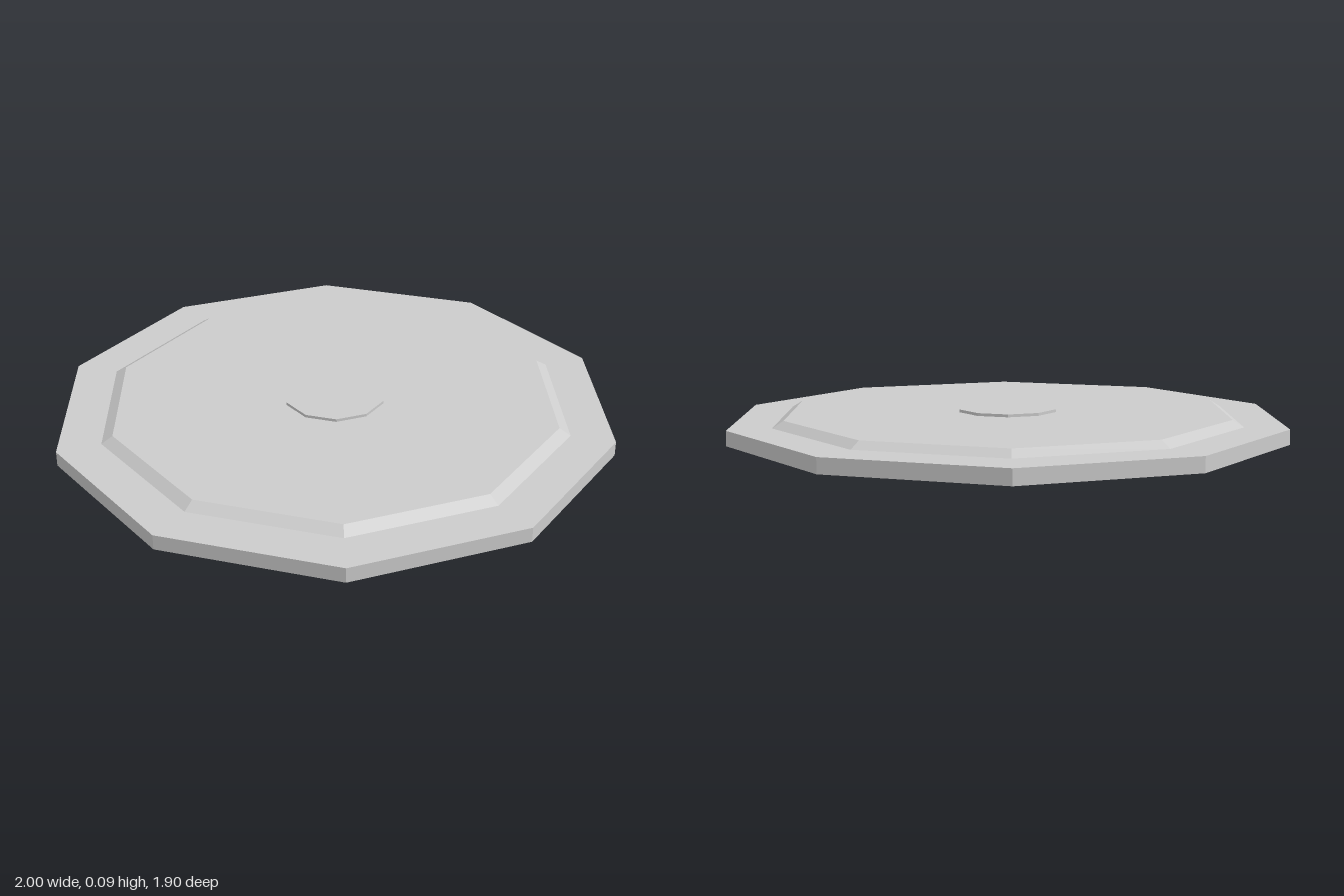
import * as THREE from 'three';

const SIDES = 10;

// Faceted ten-sided turned part from [radius, height] pairs, corners on the x axis
function turned(name, profile, material) {
  const points = profile.map(([r, y]) => new THREE.Vector2(r, y));
  const geometry = new THREE.LatheGeometry(points, SIDES, Math.PI / 2).toNonIndexed();
  geometry.computeVertexNormals();
  const mesh = new THREE.Mesh(geometry, material);
  mesh.name = name;
  return mesh;
}

export function createModel() {
  const group = new THREE.Group();
  group.name = 'lid';
  const material = new THREE.MeshStandardMaterial({ color: 0xcccccc, flatShading: true });

  // Plate with a shallow hollow underneath and a bevelled raised panel on top
  group.add(turned('plate', [
    [0, 0.025], [0.96, 0.025], [0.96, 0],
    [1, 0], [1, 0.053],
    [0.845, 0.053], [0.805, 0.077], [0, 0.077],
  ], material));

  // Low button in the middle
  group.add(turned('centreButton', [[0.18, 0.077], [0.18, 0.087], [0, 0.087]], material));

  return group;
}
